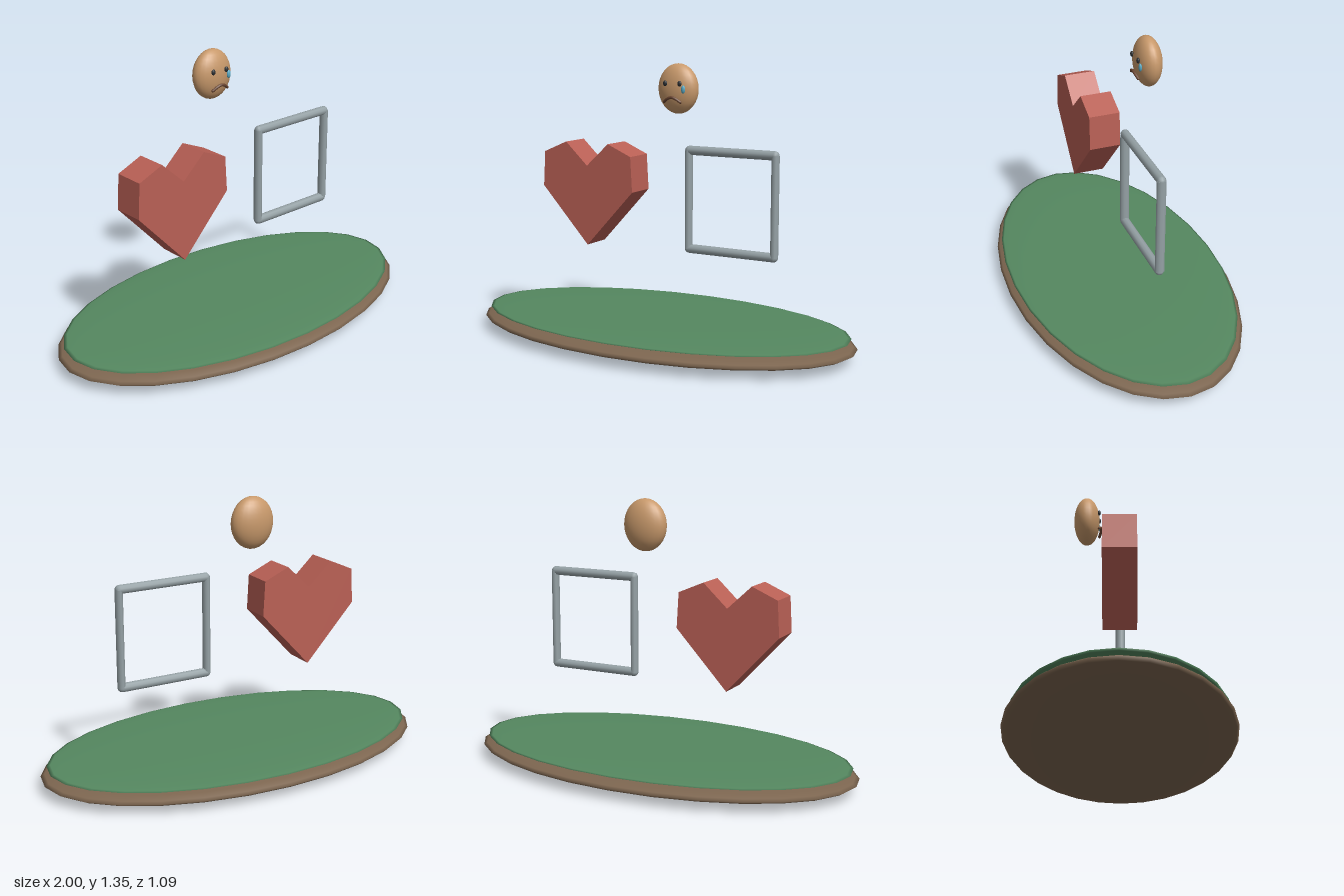
import * as THREE from 'three';

const mat = (color, flatShading = false) => new THREE.MeshStandardMaterial({ color, flatShading });

function add(parent, name, geometry, material, x = 0, y = 0, z = 0) {
  const mesh = new THREE.Mesh(geometry, material);
  mesh.name = name;
  mesh.position.set(x, y, z);
  parent.add(mesh);
  return mesh;
}

// Sphere stretched to three radii
function ellipsoid(rx, ry, rz, w = 28, h = 16) {
  return new THREE.SphereGeometry(1, w, h).scale(rx, ry, rz);
}

function createIsland() {
  const island = new THREE.Group();
  island.name = 'island';
  add(island, 'earth', ellipsoid(1, 0.058, 0.546), mat(0x7d6650), 0, 0.058, 0);
  add(island, 'grass', ellipsoid(0.97, 0.018, 0.522), mat(0x558860), 0, 0.105, 0);
  return island;
}

// Faceted heart, mirrored from one half outline
function createHeart() {
  const half = [[0.26, 0.28], [0.25, 0.453], [0.122, 0.508]];
  const outline = [
    [0, 0], ...half, [0, 0.395],
    ...half.slice().reverse().map(([x, y]) => [-x, y]),
  ].map(([x, y]) => new THREE.Vector2(x, y));
  const depth = 0.156;
  const geometry = new THREE.ExtrudeGeometry(new THREE.Shape(outline), { depth, bevelEnabled: false });
  geometry.translate(0, 0, -depth / 2);
  const heart = new THREE.Group();
  heart.name = 'heart';
  add(heart, 'heartBlock', geometry, mat(0xb96055, true), -0.378, 0.45, 0);
  return heart;
}

// Square frame of four round bars
function createFrame() {
  const frame = new THREE.Group();
  frame.name = 'frame';
  const metal = mat(0x95a1a5);
  const cx = 0.377, cy = 0.708, dx = 0.225, dy = 0.237;
  for (const s of [-1, 1]) {
    const post = new THREE.CylinderGeometry(0.023, 0.023, 2 * dy, 10).scale(0.8, 1, 1);
    add(frame, 'frameSideBar', post, metal, cx + s * dx, cy, 0);
    const rail = new THREE.CapsuleGeometry(0.022, 0.442, 3, 10).rotateZ(Math.PI / 2);
    add(frame, 'frameCrossBar', rail, metal, cx, cy + s * dy, 0);
  }
  return frame;
}

// Floating sad face
function createFace() {
  const face = new THREE.Group();
  face.name = 'sadFace';
  add(face, 'head', ellipsoid(0.107, 0.123, 0.064, 24, 16), mat(0xc8996b), 0, 1.222, -0.167);
  for (const s of [-1, 1]) {
    add(face, 'eye', ellipsoid(0.011, 0.014, 0.008, 12, 8), mat(0x2b2f33), s * 0.04, 1.25, -0.105);
  }
  add(face, 'tear', ellipsoid(0.011, 0.02, 0.008, 12, 8), mat(0x58a9c4), 0.058, 1.222, -0.109);

  // Downturned mouth
  const curve = new THREE.CatmullRomCurve3([
    new THREE.Vector3(-0.045, 1.16, -0.105),
    new THREE.Vector3(-0.022, 1.176, -0.097),
    new THREE.Vector3(0, 1.183, -0.095),
    new THREE.Vector3(0.022, 1.176, -0.097),
    new THREE.Vector3(0.045, 1.16, -0.105),
  ]);
  const mouth = mat(0x6b4632);
  add(face, 'mouth', new THREE.TubeGeometry(curve, 12, 0.007, 8), mouth);
  for (const t of [0, 1]) {
    const p = curve.getPoint(t);
    add(face, 'mouthCorner', new THREE.SphereGeometry(0.007, 8, 6), mouth, p.x, p.y, p.z);
  }
  return face;
}

export function createModel() {
  const model = new THREE.Group();
  model.name = 'islandScene';
  model.add(createIsland(), createHeart(), createFrame(), createFace());
  return model;
}
